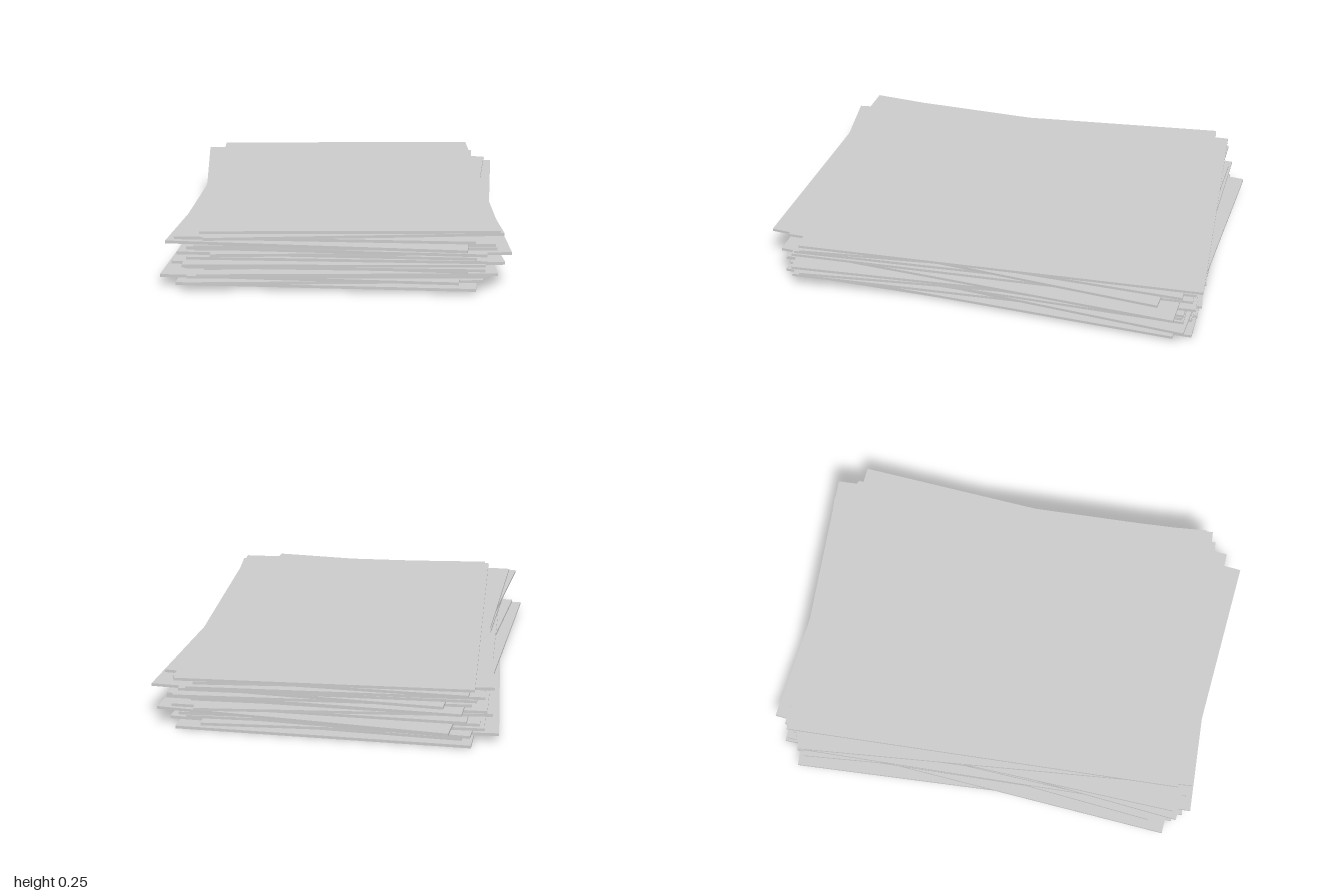
import * as THREE from 'three';

// Loose stack of identical thin sheets, each slightly shifted and turned.
const WIDTH = 1.265, LENGTH = 1.8, THICKNESS = 0.0123;

// Bottom to top: [x offset, z offset, turn about y]
const SHEETS = [
  [-0.02, -0.04, 0.005],
  [0, 0.02, -0.022],
  [-0.06, 0, 0.083],
  [-0.055, 0, -0.04],
  [-0.02, 0, 0.058],
  [0.01, 0.01, 0.07],
  [0.005, -0.06, -0.065],
  [0.01, 0, 0.01],
  [0, 0, 0.12],
  [-0.03, 0.045, 0.055],
  [0.025, 0, 0.003],
  [0, -0.02, -0.02],
  [0.057, -0.005, 0.083],
  [0.06, 0, -0.04],
  [0.015, 0, 0.06],
  [-0.005, 0, 0.075],
  [0, 0.06, -0.065],
  [-0.015, 0, -0.01],
  [-0.005, -0.01, 0.12],
  [0.025, -0.04, 0.064],
];

export function createModel() {
  const stack = new THREE.Group();
  stack.name = 'sheetStack';
  const material = new THREE.MeshStandardMaterial({ color: 0xcccccc });
  const geometry = new THREE.BoxGeometry(WIDTH, THICKNESS, LENGTH);

  SHEETS.forEach(([x, z, turn], i) => {
    const sheet = new THREE.Mesh(geometry, material);
    sheet.name = `sheet${i + 1}`;
    sheet.position.set(x, (i + 0.5) * THICKNESS, z);
    sheet.rotation.y = turn;
    stack.add(sheet);
  });
  return stack;
}
